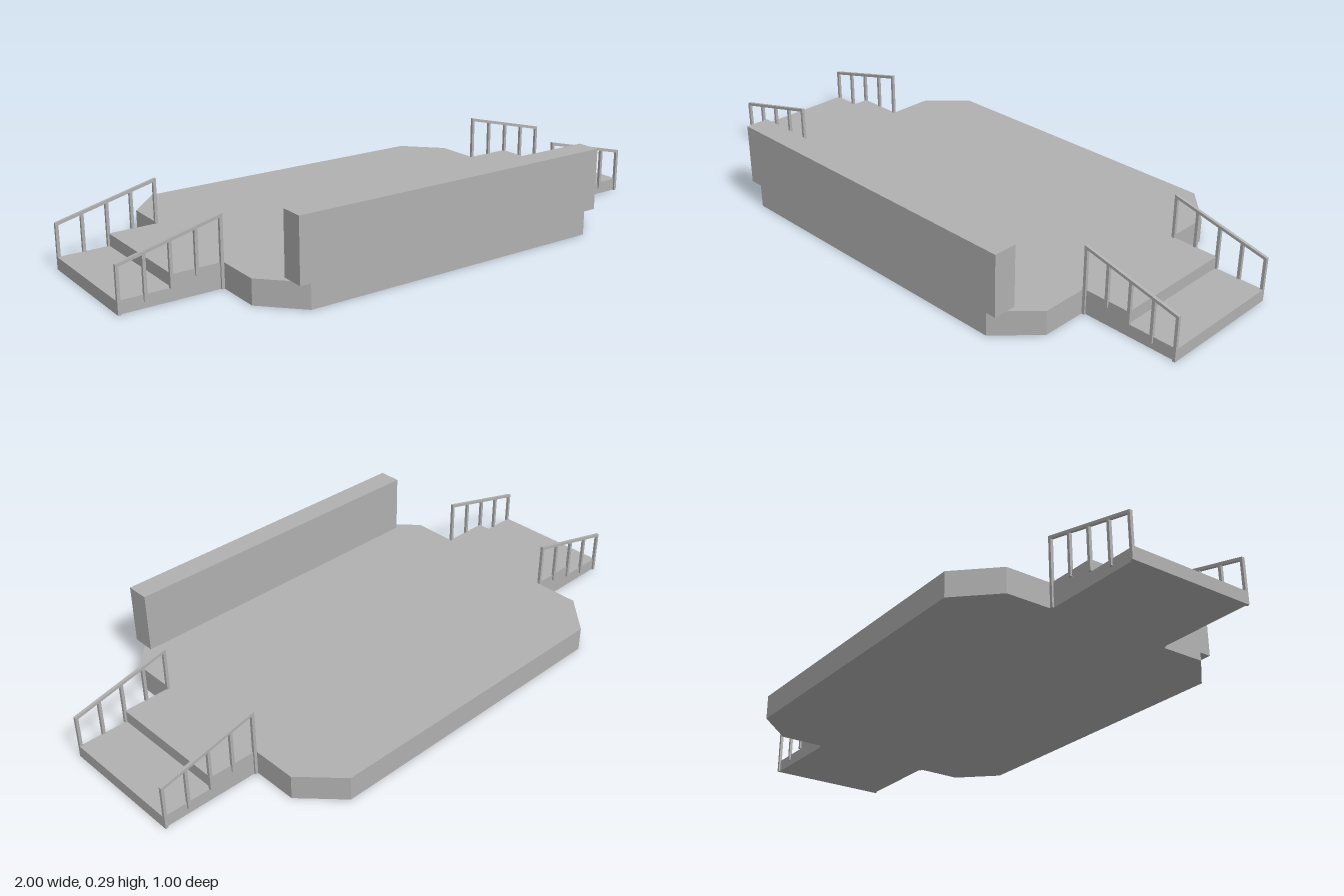
import * as THREE from 'three';

export function createModel() {
  const model = new THREE.Group();
  model.name = 'stage';
  const grey = new THREE.MeshStandardMaterial({ color: 0xb0b0b0 });
  grey.name = 'grey';

  const DECK = 0.083, STEP = 0.042, T = 0.01;

  function box(parent, name, x0, x1, y0, y1, z0, z1) {
    const mesh = new THREE.Mesh(new THREE.BoxGeometry(x1 - x0, y1 - y0, z1 - z0), grey);
    mesh.position.set((x0 + x1) / 2, (y0 + y1) / 2, (z0 + z1) / 2);
    mesh.name = name;
    parent.add(mesh);
    return mesh;
  }

  // Platform with chamfered corners (shape y becomes -z)
  const outline = [
    [-0.54, -0.495], [0.54, -0.495], [0.66, -0.37], [0.66, 0.375],
    [0.54, 0.5], [-0.54, 0.5], [-0.66, 0.375], [-0.66, -0.37],
  ].map(([x, y]) => new THREE.Vector2(x, y));
  const deckGeo = new THREE.ExtrudeGeometry(new THREE.Shape(outline), { depth: DECK, bevelEnabled: false });
  deckGeo.rotateX(-Math.PI / 2);
  const deck = new THREE.Mesh(deckGeo, grey);
  deck.name = 'platform';
  model.add(deck);

  // Counter wall along the front edge
  box(model, 'frontWall', -0.58, 0.58, DECK, 0.29, 0.42, 0.5);

  // Sloped handrail with five posts, on the side given by s
  function handrail(s, z) {
    const rail = new THREE.Group();
    rail.name = 'handrail';
    const xa = 0.66, xb = 1.0, ya = 0.235, yb = 0.152;
    const bottoms = [0, 0.062, 0.042, 0.021, 0];
    bottoms.forEach((bottom, i) => {
      const x = xa + T / 2 + (xb - xa - T) * i / 4;
      const top = ya + (yb - ya) * (x - xa) / (xb - xa) - T / 2;
      box(rail, 'railPost', s * x - T / 2, s * x + T / 2, bottom, top, z - T / 2, z + T / 2);
    });
    // Top bar with vertical ends
    const bar = new THREE.Shape([
      [xa, ya - T], [xb, yb - T], [xb, yb], [xa, ya],
    ].map(([x, y]) => new THREE.Vector2(s * x, y)));
    const geo = new THREE.ExtrudeGeometry(bar, { depth: T, bevelEnabled: false });
    geo.translate(0, 0, z - T / 2);
    const mesh = new THREE.Mesh(geo, grey);
    mesh.name = 'railBar';
    rail.add(mesh);
    model.add(rail);
  }

  // Two-level stairs and handrails at both ends
  for (const s of [-1, 1]) {
    const span = (a, b) => (s > 0 ? [a, b] : [-b, -a]);
    box(model, 'upperStep', ...span(0.66, 0.828), 0, DECK, -0.217, 0.209);
    box(model, 'lowerStep', ...span(0.828, 1.0), 0, STEP, -0.217, 0.209);
    handrail(s, 0.21);
    handrail(s, -0.218);
  }
  return model;
}
